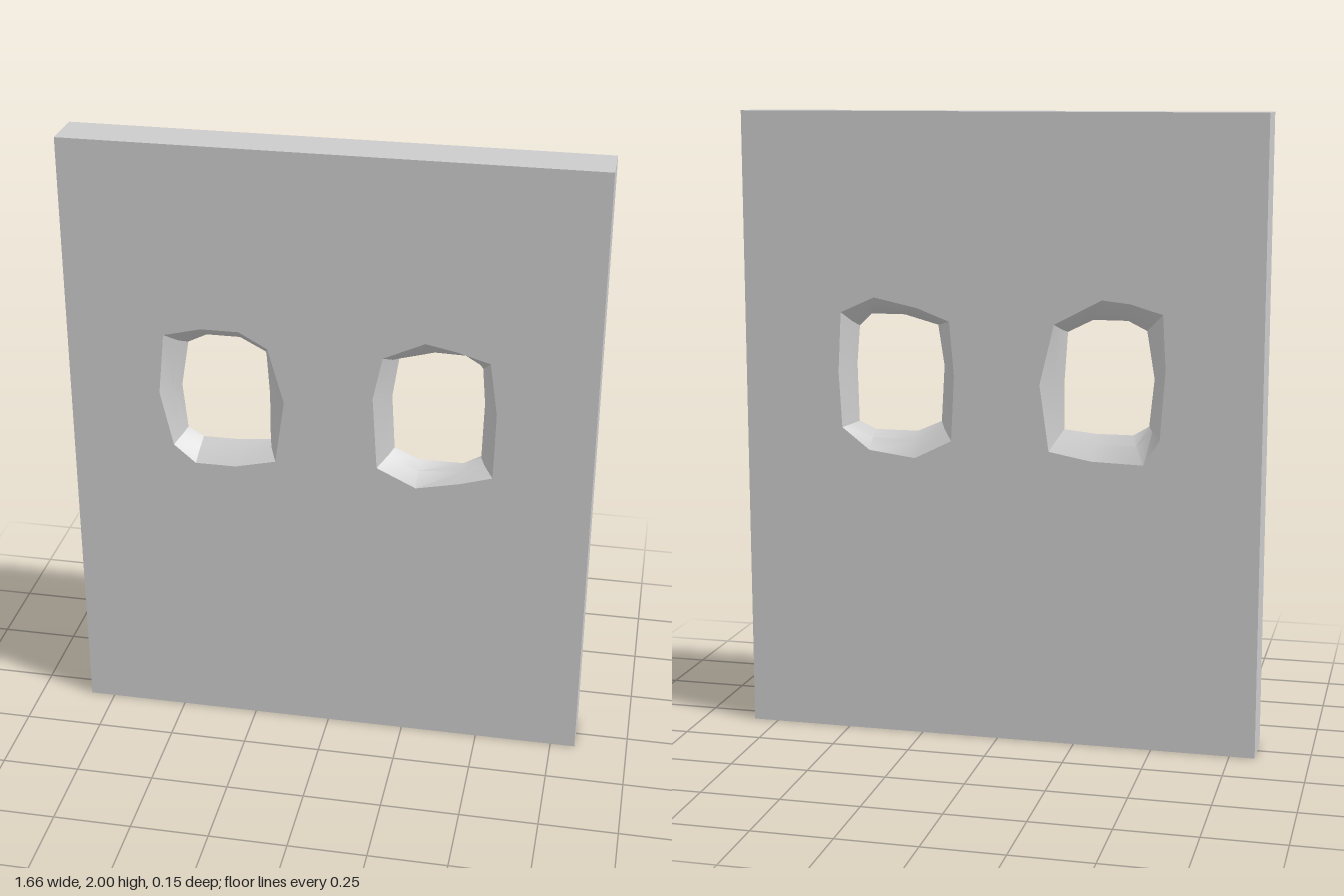
import * as THREE from 'three';
import { toCreasedNormals } from 'three/addons/utils/BufferGeometryUtils.js';

const W = 1.66, H = 2, D = 0.074; // width, height, half thickness

// Outlines of each opening, clockwise from the top left: front rim, narrow throat, back rim
const OPENINGS = {
  rightOpening: {
    front: [[-0.52, 1.38], [-0.4, 1.41], [-0.28, 1.41], [-0.19, 1.36], [-0.14, 1.18], [-0.17, 0.97], [-0.3, 0.94], [-0.43, 0.94], [-0.5, 1], [-0.54, 1.18]],
    throat: [[-0.46, 1.33], [-0.4, 1.36], [-0.29, 1.36], [-0.21, 1.32], [-0.2, 1.17], [-0.2, 1.01], [-0.3, 1], [-0.42, 1], [-0.47, 1.03], [-0.485, 1.18]],
    back: [[-0.52, 1.39], [-0.42, 1.42], [-0.33, 1.43], [-0.18, 1.35], [-0.135, 1.16], [-0.165, 0.95], [-0.3, 0.925], [-0.465, 0.92], [-0.515, 1], [-0.53, 1.22]],
  },
  leftOpening: {
    front: [[0.17, 1.36], [0.3, 1.42], [0.4, 1.4], [0.5, 1.37], [0.525, 1.2], [0.52, 0.98], [0.42, 0.95], [0.28, 0.92], [0.155, 0.98], [0.14, 1.22]],
    throat: [[0.21, 1.33], [0.32, 1.36], [0.43, 1.36], [0.47, 1.32], [0.48, 1.2], [0.475, 1.01], [0.42, 0.985], [0.28, 0.985], [0.2, 1.02], [0.19, 1.2]],
    back: [[0.155, 1.35], [0.26, 1.39], [0.4, 1.42], [0.51, 1.37], [0.52, 1.18], [0.51, 1], [0.42, 0.93], [0.27, 0.91], [0.15, 0.97], [0.14, 1.18]],
  },
};

const toPoints = (loop, sx = 1) => loop.map(([x, y]) => new THREE.Vector2(x * sx, y));
const blend = (a, b, t) => a.map(([x, y], i) => [x + (b[i][0] - x) * t, y + (b[i][1] - y) * t]);

// Flat panel face with the openings cut out
function faceGeometry(side, sx) {
  const shape = new THREE.Shape(toPoints([[-W / 2, 0], [W / 2, 0], [W / 2, H], [-W / 2, H]]));
  for (const opening of Object.values(OPENINGS)) shape.holes.push(new THREE.Path(toPoints(opening[side], sx)));
  const geometry = new THREE.ShapeGeometry(shape).translate(0, 0, D);
  return sx < 0 ? geometry.rotateY(Math.PI) : geometry;
}

// Wall of an opening, narrowing from both rims to the throat
function openingGeometry({ front, throat, back }) {
  const rings = [
    [front, D], [blend(front, throat, 0.65), 0.035], [throat, 0],
    [blend(back, throat, 0.65), -0.035], [back, -D],
  ];
  const n = front.length, positions = [], index = [];
  for (const [loop, z] of rings) for (const [x, y] of loop) positions.push(x, y, z);
  for (let r = 0; r < rings.length - 1; r++) {
    for (let i = 0; i < n; i++) {
      const a = r * n + i, b = r * n + (i + 1) % n;
      index.push(a, a + n, b, b, a + n, b + n);
    }
  }
  const geometry = new THREE.BufferGeometry();
  geometry.setAttribute('position', new THREE.Float32BufferAttribute(positions, 3));
  geometry.setIndex(index);
  return toCreasedNormals(geometry, 0.5);
}

export function createModel() {
  const group = new THREE.Group();
  group.name = 'panelWithTwoOpenings';
  const material = new THREE.MeshStandardMaterial({ color: 0xcccccc });
  const add = (name, geometry) => {
    const mesh = new THREE.Mesh(geometry, material);
    mesh.name = name;
    group.add(mesh);
  };

  add('frontFace', faceGeometry('front', 1));
  add('backFace', faceGeometry('back', -1));

  // Outer edges of the panel
  for (const s of [1, -1]) {
    add(s > 0 ? 'leftEdge' : 'rightEdge',
      new THREE.PlaneGeometry(2 * D, H).rotateY(s * Math.PI / 2).translate(s * W / 2, H / 2, 0));
    add(s > 0 ? 'topEdge' : 'bottomEdge',
      new THREE.PlaneGeometry(W, 2 * D).rotateX(-s * Math.PI / 2).translate(0, s > 0 ? H : 0, 0));
  }

  // Chamfered walls inside the openings
  for (const [name, opening] of Object.entries(OPENINGS)) add(name, openingGeometry(opening));
  return group;
}
